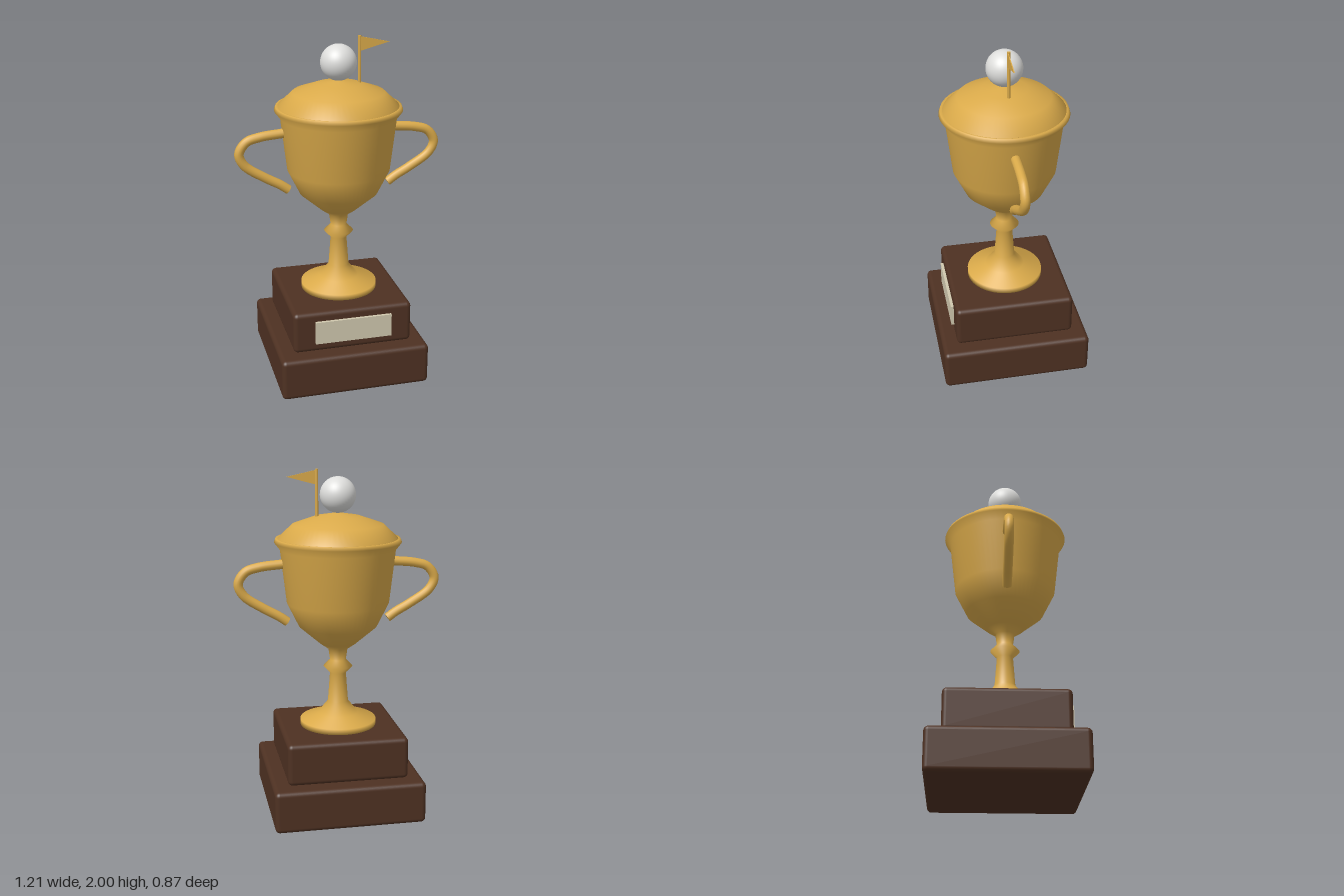
import * as THREE from 'three';
import { RoundedBoxGeometry } from 'three/addons/geometries/RoundedBoxGeometry.js';

export function createModel() {
  const model = new THREE.Group();
  const material = (name, color, side = THREE.FrontSide) => {
    const m = new THREE.MeshStandardMaterial({ color, side });
    m.name = name;
    return m;
  };
  const wood = material('dark wood', 0x4e3122);
  const gold = material('gold', 0xdaaa4a, THREE.DoubleSide);
  const ivory = material('plaque ivory', 0xd0c8ae);
  const white = material('ball white', 0xdededc);

  const add = (name, geometry, mat, x = 0, y = 0, z = 0) => {
    const mesh = new THREE.Mesh(geometry, mat);
    mesh.name = name;
    mesh.position.set(x, y, z);
    model.add(mesh);
    return mesh;
  };
  const lathe = (points) =>
    new THREE.LatheGeometry(points.map(([r, y]) => new THREE.Vector2(r, y)), 64);

  // Two-step plinth with a plaque on the front
  add('lowerBase', new RoundedBoxGeometry(0.874, 0.246, 0.874, 4, 0.027), wood, 0, 0.125, 0);
  add('upperBase', new RoundedBoxGeometry(0.7, 0.246, 0.7, 4, 0.027), wood, 0, 0.371, 0);
  add('plaque', new THREE.BoxGeometry(0.45, 0.136, 0.018), ivory, 0, 0.373, 0.358);

  // Foot, stem with knop, bowl and rim in one turned profile
  add('cup', lathe([
    [0, 0.494], [0.225, 0.494], [0.225, 0.527], [0.117, 0.565], [0.06, 0.635],
    [0.047, 0.81], [0.085, 0.85], [0.047, 0.89], [0.056, 0.955], [0.106, 0.99],
    [0.228, 1.095], [0.297, 1.235], [0.333, 1.545], [0.366, 1.588], [0.358, 1.61],
    [0.342, 1.608],
  ]), gold);

  // Domed lid, its edge turned under
  add('lid', lathe([
    [0.31, 1.59], [0.345, 1.61], [0.262, 1.688], [0.13, 1.734], [0, 1.756],
  ]), gold);

  // Mirrored handles
  for (const side of [1, -1]) {
    const path = new THREE.CatmullRomCurve3([
      [0.31, 1.468], [0.46, 1.452], [0.535, 1.427], [0.577, 1.36],
      [0.548, 1.292], [0.43, 1.21], [0.345, 1.162], [0.297, 1.128],
    ].map(([x, y]) => new THREE.Vector3(side * x, y, 0)));
    const name = side > 0 ? 'leftHandle' : 'rightHandle';
    add(name, new THREE.TubeGeometry(path, 48, 0.027, 14), gold);
    // Cap on the free lower end
    const cap = add(name + 'End', new THREE.CircleGeometry(0.027, 14), gold);
    cap.position.copy(path.getPoint(1));
    cap.lookAt(path.getPoint(1).add(path.getTangent(1)));
  }

  // Ball on the lid
  add('ball', new THREE.SphereGeometry(0.103, 40, 28), white, 0, 1.855, 0);

  // Pole with a thin pennant
  add('flagPole', new THREE.CylinderGeometry(0.009, 0.009, 0.28, 12), gold, 0.122, 1.86, 0);
  const pennant = new THREE.Shape([
    new THREE.Vector2(0.122, 1.995), new THREE.Vector2(0.122, 1.912), new THREE.Vector2(0.293, 1.958),
  ]);
  add('flag', new THREE.ExtrudeGeometry(pennant, { depth: 0.005, bevelEnabled: false }), gold, 0, 0, 0.0015);

  return model;
}
